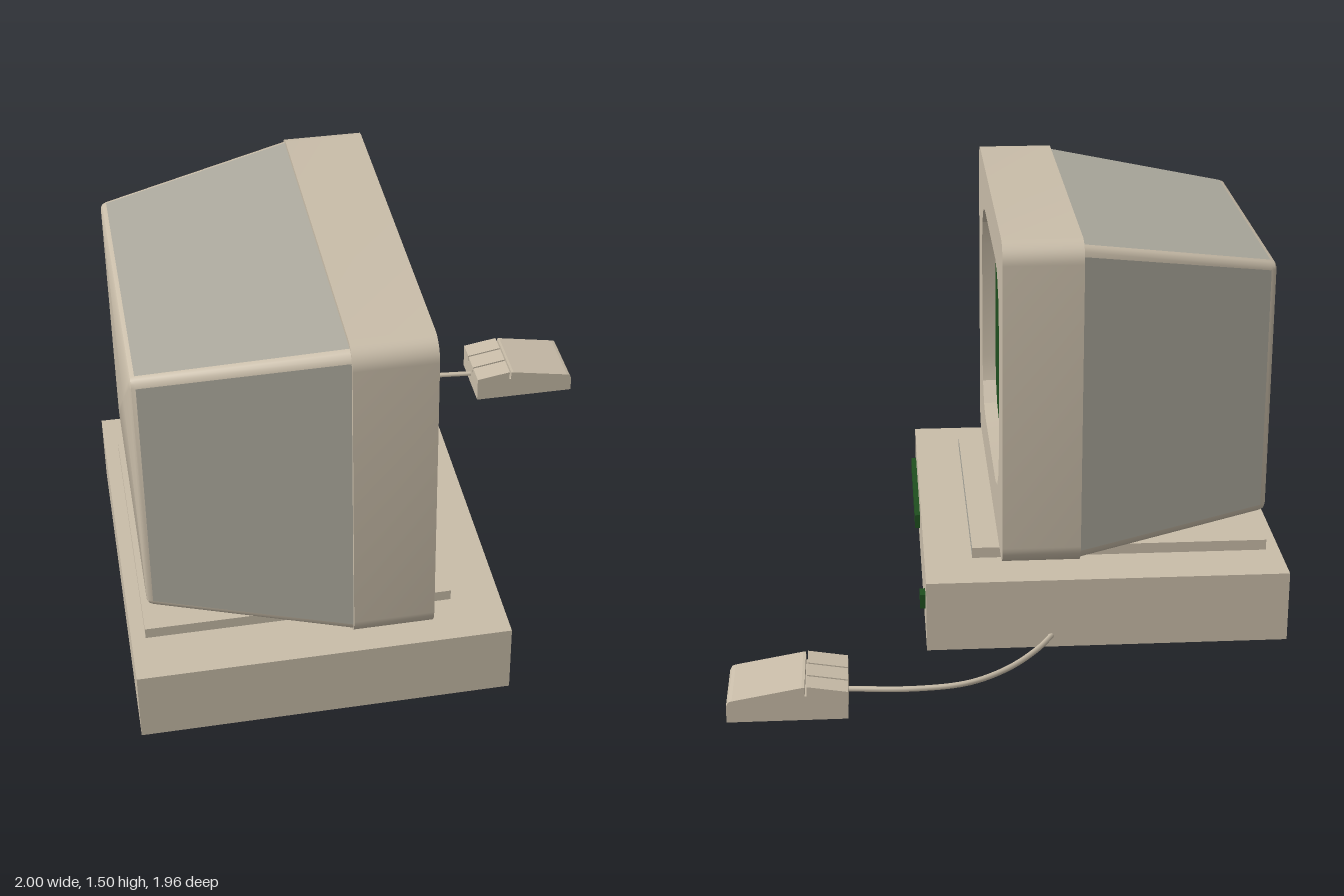
import * as THREE from 'three';
import { toCreasedNormals } from 'three/addons/utils/BufferGeometryUtils.js';

const paint = (color) => new THREE.MeshStandardMaterial({ color });
const beige = paint(0xc9bda9);
const grey = paint(0xaca99d);
const green = paint(0x1f4f1f);

const MONITOR_Y = 0.905, MONITOR_Z = 0.24;

function add(parent, name, geometry, material) {
  const mesh = new THREE.Mesh(geometry, material);
  mesh.name = name;
  parent.add(mesh);
  return mesh;
}

// Box given by its lower and upper corners
function block(parent, name, [x0, y0, z0], [x1, y1, z1], material) {
  const mesh = add(parent, name, new THREE.BoxGeometry(x1 - x0, y1 - y0, z1 - z0), material);
  mesh.position.set((x0 + x1) / 2, (y0 + y1) / 2, (z0 + z1) / 2);
  return mesh;
}

// Counterclockwise outline of a rounded rectangle, seen from +x
function roundedRect(halfW, halfH, r, segments) {
  const points = [];
  for (let corner = 0; corner < 4; corner++) {
    const cx = (corner === 0 || corner === 3 ? 1 : -1) * (halfW - r);
    const cy = (corner < 2 ? 1 : -1) * (halfH - r);
    for (let s = 0; s <= segments; s++) {
      const a = (corner + s / segments) * Math.PI / 2;
      points.push(new THREE.Vector2(cx + r * Math.cos(a), cy + r * Math.sin(a)));
    }
  }
  return points;
}

// Extrude a shape along x, from x0 to x1
function extrudeX(shape, x0, x1) {
  const g = new THREE.ExtrudeGeometry(shape, { depth: x1 - x0, bevelEnabled: false });
  g.rotateY(Math.PI / 2).translate(x0, 0, 0);
  return toCreasedNormals(g, 0.5);
}

// Extrude an (x, y) profile along z, from z0 to z1
function extrudeZ(profile, z0, z1) {
  const shape = new THREE.Shape(profile.map(([x, y]) => new THREE.Vector2(x, y)));
  return new THREE.ExtrudeGeometry(shape, { depth: z1 - z0, bevelEnabled: false }).translate(0, 0, z0);
}

function meshFromTriangles(parent, name, positions, material) {
  const g = new THREE.BufferGeometry();
  g.setAttribute('position', new THREE.Float32BufferAttribute(positions, 3));
  g.computeVertexNormals();
  return add(parent, name, toCreasedNormals(g, 0.6), material);
}

// Tapered rear housing: grey side panels between beige rounded edges
function buildHousing(parent) {
  const segments = 3;
  const rings = [
    [-0.935, 0.555, 0.46, 0.02],
    [-0.929, 0.565, 0.47, 0.025],
    [-0.915, 0.572, 0.476, 0.03],
    [-0.245, 0.705, 0.583, 0.035],
  ].map(([x, hw, hh, r]) => roundedRect(hw, hh, r, segments).map((p) => [x, p.y, -p.x]));
  const trim = [], panels = [];
  const count = rings[0].length;
  for (let i = 0; i < rings.length - 1; i++) {
    for (let j = 0; j < count; j++) {
      const k = (j + 1) % count;
      const a = rings[i][j], b = rings[i][k], c = rings[i + 1][k], d = rings[i + 1][j];
      const flatSide = i === rings.length - 2 && j % (segments + 1) === segments;
      (flatSide ? panels : trim).push(...a, ...b, ...c, ...a, ...c, ...d);
    }
  }
  // Back wall
  for (let j = 0; j < count; j++) {
    trim.push(-0.935, 0, 0, ...rings[0][(j + 1) % count], ...rings[0][j]);
  }
  meshFromTriangles(parent, 'housingShell', trim, beige);
  meshFromTriangles(parent, 'housingSidePanels', panels, grey);
}

function buildMonitor() {
  const monitor = new THREE.Group();
  monitor.name = 'monitor';
  monitor.position.set(0, MONITOR_Y, MONITOR_Z);

  // Bezel with a recessed screen
  const opening = roundedRect(0.517, 0.432, 0.195, 3);
  const bezel = new THREE.Shape(roundedRect(0.72, 0.6, 0.075, 8));
  bezel.holes.push(new THREE.Path(opening));
  add(monitor, 'bezel', extrudeX(bezel, -0.245, 0.035), beige);
  add(monitor, 'screen', extrudeX(new THREE.Shape(opening), -0.24, -0.018), green);
  buildHousing(monitor);
  return monitor;
}

function buildMouse() {
  const mouse = new THREE.Group();
  mouse.name = 'mouse';
  // Body with a low shelf under the buttons
  const body = [[0.59, 0], [1, 0], [1, 0.06], [0.992, 0.076], [0.98, 0.08],
    [0.745, 0.122], [0.735, 0.122], [0.735, 0.09], [0.59, 0.075]];
  add(mouse, 'mouseBody', extrudeZ(body, -0.98, -0.72), beige);
  // Three buttons with narrow gaps
  const button = [[0.59, 0.07], [0.728, 0.07], [0.728, 0.125], [0.59, 0.102]];
  for (const [z0, z1] of [[-0.98, -0.902], [-0.894, -0.814], [-0.806, -0.72]]) {
    add(mouse, 'mouseButton', extrudeZ(button, z0, z1), beige);
  }
  return mouse;
}

export function createModel() {
  const model = new THREE.Group();
  model.name = 'desktopComputer';

  // Computer case, drive slot and power button
  block(model, 'case', [-1, 0, -0.51], [0.31, 0.265, 0.98], beige);
  block(model, 'driveSlot', [0.3, 0.115, 0.3], [0.33, 0.17, 0.89], green);
  block(model, 'powerButton', [0.3, 0.115, -0.405], [0.33, 0.17, -0.35], green);

  // Monitor stand with a grey front edge
  block(model, 'monitorStand', [-0.95, 0.265, -0.305], [0.135, 0.305, 0.78],
    [grey, beige, beige, beige, beige, beige]);

  model.add(buildMonitor(), buildMouse());

  // Mouse cable, from the back of the case to the mouse
  const path = new THREE.CatmullRomCurve3(
    [[-0.15, -0.49], [-0.08, -0.61], [0.04, -0.75], [0.18, -0.84], [0.36, -0.868], [0.6, -0.853]]
      .map(([x, z]) => new THREE.Vector3(x, 0.044, z)));
  add(model, 'mouseCable', new THREE.TubeGeometry(path, 40, 0.01, 8), beige);

  return model;
}
